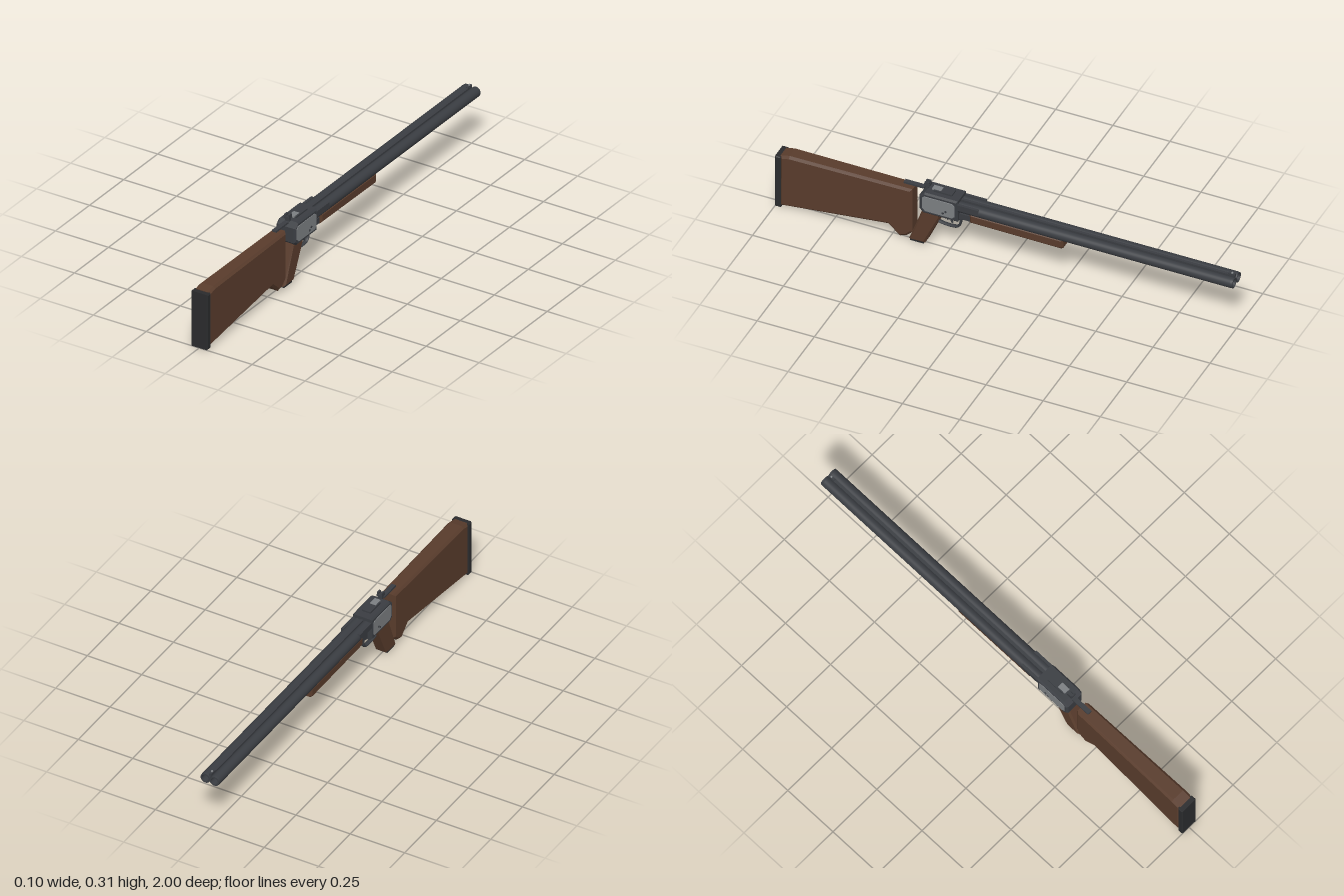
import * as THREE from 'three';

const mat = (color, side = THREE.FrontSide) => new THREE.MeshStandardMaterial({ color, side });
const metal = mat(0x3a3d42), dark = mat(0x2a2b2d), plate = mat(0x7c7f82), wood = mat(0x593c2c);
const tubeMetal = mat(0x3a3d42, THREE.DoubleSide);

export function createModel() {
  const group = new THREE.Group();
  const add = (name, geometry, material, x = 0, y = 0, z = 0) => {
    const mesh = new THREE.Mesh(geometry, material);
    mesh.name = name;
    mesh.position.set(x, y, z);
    group.add(mesh);
    return mesh;
  };
  // box given by its extents in y and z, centred on x
  const block = (name, material, width, y0, y1, z0, z1, x = 0) =>
    add(name, new THREE.BoxGeometry(width, y1 - y0, z1 - z0), material, x, (y0 + y1) / 2, (z0 + z1) / 2);
  // side profile of [z, y] points, extruded across x with chamfered edges
  const slab = (points, width, bevel) => {
    const shape = new THREE.Shape(points.map(([z, y]) => new THREE.Vector2(z, y)));
    const g = new THREE.ExtrudeGeometry(shape, {
      depth: width - 2 * bevel, bevelEnabled: bevel > 0, bevelSize: bevel,
      bevelThickness: bevel, bevelOffset: -bevel, bevelSegments: 1,
    });
    g.translate(0, 0, bevel - width / 2);
    return g.rotateY(-Math.PI / 2);
  };
  const rect = (z0, z1, y0, y1) => [[z0, y0], [z1, y0], [z1, y1], [z0, y1]];

  // buttstock, tapering toward the receiver
  const stock = slab([
    [0.98, 0.006], [0.98, 0.252], [0.94, 0.261], [0.405, 0.262], [0.405, 0.05],
    [0.43, 0.026], [0.46, 0.015], [0.51, 0.06],
  ], 0.074, 0.01);
  const p = stock.attributes.position;
  for (let i = 0; i < p.count; i++) p.setX(i, p.getX(i) * (0.84 + 0.16 * (p.getZ(i) - 0.405) / 0.575));
  stock.computeVertexNormals();
  add('stock', stock, wood);
  add('buttPlate', slab(rect(0.975, 1, 0, 0.25), 0.079, 0.004), dark);

  // pistol grip with its cap
  add('grip', slab([[0.42, 0.014], [0.35, 0.014], [0.275, 0.18], [0.36, 0.18]], 0.062, 0.008), wood);
  block('gripCap', dark, 0.05, 0.008, 0.016, 0.356, 0.416);

  // receiver and side plates
  add('receiver', slab([
    [0.35, 0.176], [0.2, 0.176], [0.2, 0.277], [0.345, 0.277], [0.368, 0.258], [0.368, 0.192],
  ], 0.09, 0.007), metal);
  for (const s of [-1, 1]) {
    const sidePlate = add('sidePlate', slab([
      [0.34, 0.19], [0.222, 0.19], [0.212, 0.2], [0.212, 0.254], [0.222, 0.262], [0.345, 0.262], [0.354, 0.252], [0.354, 0.204],
    ], 0.004, 0.001), plate);
    sidePlate.position.x = s * 0.0448;
    for (const [y, z] of [[0.205, 0.262], [0.215, 0.25]]) {
      const pin = add('platePin', new THREE.CylinderGeometry(0.005, 0.005, 0.004, 10), metal, s * 0.0465, y, z);
      pin.rotation.z = Math.PI / 2;
    }
    block('sideRail', metal, 0.012, 0.236, 0.262, 0.11, 0.202, s * 0.038);
  }

  // top lever, latch and rear sight
  block('topLever', metal, 0.02, 0.27, 0.278, 0.36, 0.45);
  block('topPlate', metal, 0.038, 0.275, 0.284, 0.235, 0.315);
  block('latch', plate, 0.026, 0.28, 0.286, 0.285, 0.325);
  block('sightPost', metal, 0.02, 0.275, 0.297, 0.342, 0.354);
  block('rearSight', metal, 0.024, 0.288, 0.299, 0.336, 0.36);
  for (const s of [-1, 1]) block('sightEar', metal, 0.008, 0.298, 0.307, 0.338, 0.358, s * 0.008);

  // hollow twin barrels: outer wall, muzzle ring and bore in one profile
  const bore = [[0.0225, 0], [0.0225, 0], [0.0225, 1.19], [0.0225, 1.19], [0.0215, 1.2], [0.0215, 1.2],
    [0.016, 1.2], [0.016, 1.2], [0.016, 1], [0.016, 1], [0, 1]];
  for (const s of [-1, 1]) {
    const g = new THREE.LatheGeometry(bore.map(([r, y]) => new THREE.Vector2(r, y)), 28);
    add('barrel', g.rotateX(-Math.PI / 2), tubeMetal, s * 0.021, 0.241, 0.2);
  }
  block('topRib', metal, 0.012, 0.245, 0.265, -0.995, 0.2);
  block('bottomRib', metal, 0.01, 0.219, 0.236, -0.99, 0.2);
  block('frontSightBase', metal, 0.01, 0.262, 0.27, -0.995, -0.965);
  add('frontBead', new THREE.SphereGeometry(0.005, 10, 8), plate, 0, 0.272, -0.982);

  // fore-end and hinge
  add('foreEnd', slab([[0.155, 0.178], [0.155, 0.225], [-0.255, 0.225], [-0.255, 0.182], [-0.245, 0.175]], 0.066, 0.009), wood);
  block('hinge', metal, 0.05, 0.182, 0.208, 0.15, 0.205);
  block('barrelLug', metal, 0.036, 0.205, 0.23, 0.12, 0.205);

  // trigger guard and the two triggers
  const guard = new THREE.CatmullRomCurve3([
    [0.205, 0.182], [0.206, 0.14], [0.218, 0.123], [0.245, 0.118], [0.28, 0.12], [0.303, 0.125],
  ].map(([z, y]) => new THREE.Vector3(0, y, z)));
  const guardGeometry = new THREE.TubeGeometry(guard, 28, 0.005, 8);
  guardGeometry.scale(2, 1, 1);
  add('triggerGuard', guardGeometry, tubeMetal);
  for (const [x, z] of [[0.006, 0.238], [-0.006, 0.262]]) {
    const curve = new THREE.QuadraticBezierCurve3(
      new THREE.Vector3(x, 0.18, z + 0.006), new THREE.Vector3(x, 0.158, z + 0.012), new THREE.Vector3(x, 0.138, z));
    add('trigger', new THREE.TubeGeometry(curve, 10, 0.004, 8), tubeMetal);
  }
  return group;
}
